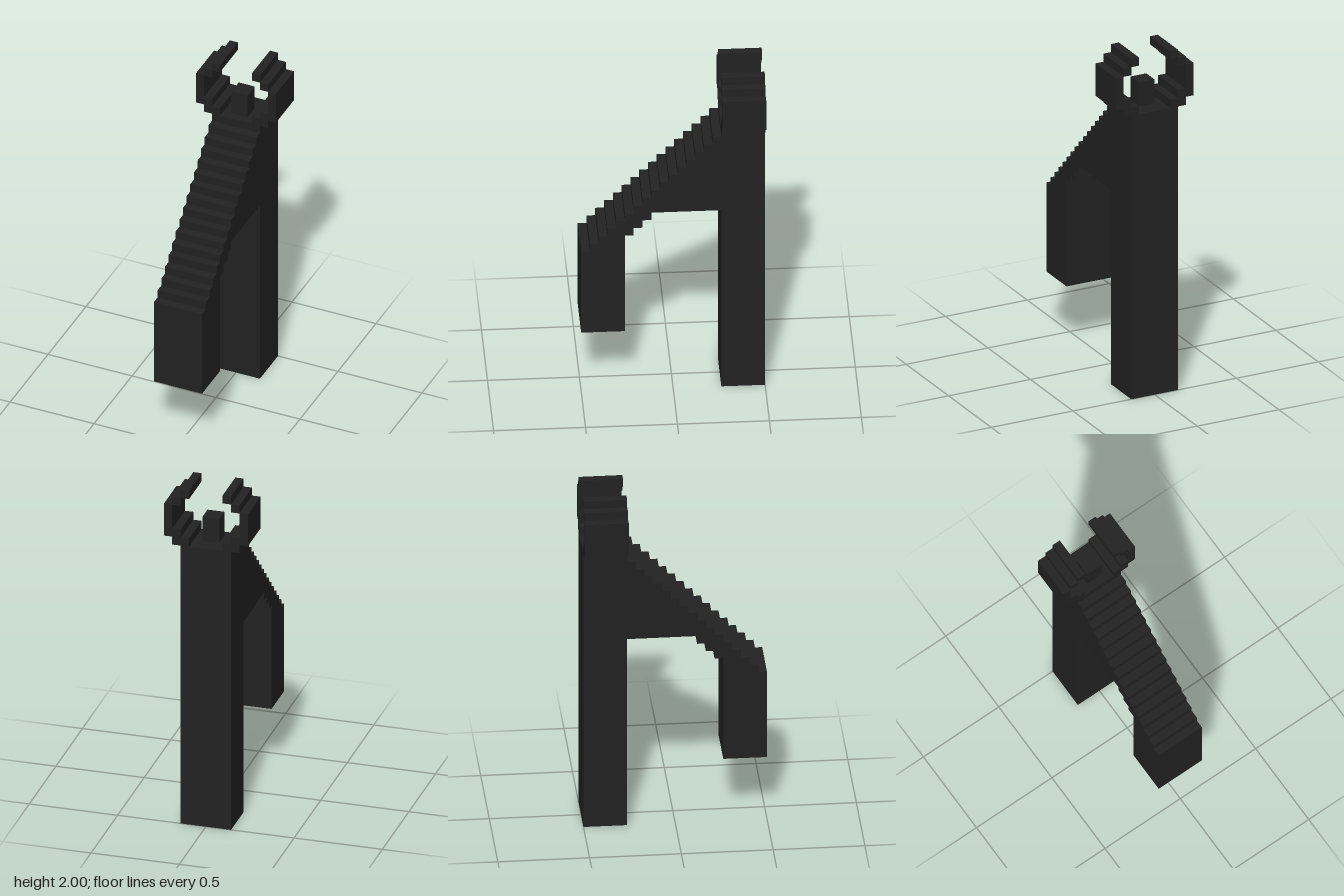
import * as THREE from 'three';

const U = 2 / 42; // one block of the grid

const charcoal = new THREE.MeshStandardMaterial({ color: 0x222222 });
charcoal.name = 'charcoal';

const toShape = (points) => new THREE.Shape(points.map(([x, y]) => new THREE.Vector2(x * U, y * U)));

// Outlines extruded by a depth in blocks, centred on the extrusion axis
function slab(name, outlines, depth) {
  const geometry = new THREE.ExtrudeGeometry(outlines.map(toShape), { depth: depth * U, bevelEnabled: false });
  geometry.translate(0, 0, -depth * U / 2);
  const mesh = new THREE.Mesh(geometry, charcoal);
  mesh.name = name;
  return mesh;
}

// Box given by its size, base height and depth position in blocks
function block(name, w, h, d, y, z) {
  const mesh = new THREE.Mesh(new THREE.BoxGeometry(w * U, h * U, d * U), charcoal);
  mesh.name = name;
  mesh.position.set(0, (y + h / 2) * U, z * U);
  return mesh;
}

export function createModel() {
  const model = new THREE.Group();
  model.name = 'steppedTower';

  // Tall rear post and the peg on its top
  model.add(block('rearPost', 6, 35, 5, 0, -8));
  model.add(block('topPeg', 2, 3, 2, 35, -7.5));

  // Front leg and stepped brace in one side profile (z, y)
  const profile = [[5.5, 8], [10.5, 8]];
  for (let i = 0; i < 16; i++) profile.push([10.5 - i, 19 + i], [9.5 - i, 19 + i]);
  profile.push([-5.5, 24], [2.5, 24]);
  for (let i = 0; i < 3; i++) profile.push([2.5 + i, 23 - i], [3.5 + i, 23 - i]);
  const brace = slab('frontLegAndSteppedBrace', [profile], 6);
  brace.geometry.rotateY(-Math.PI / 2);
  model.add(brace);

  // Open ring of two mirrored claws, made of an arm and two tip blocks
  const arm = [[2, 35], [4, 35], [4, 36], [5, 36], [5, 40], [4, 40], [4, 37], [3, 37], [3, 36], [2, 36]];
  const cell = (x, y) => [[x, y], [x + 1, y], [x + 1, y + 1], [x, y + 1]];
  for (const [name, side] of [['leftClaw', 1], ['rightClaw', -1]]) {
    const outlines = [arm, cell(3, 40), cell(2, 41)].map((o) => o.map(([x, y]) => [x * side, y]));
    const claw = slab(name, outlines, 5);
    claw.position.z = -8 * U;
    model.add(claw);
  }

  return model;
}
